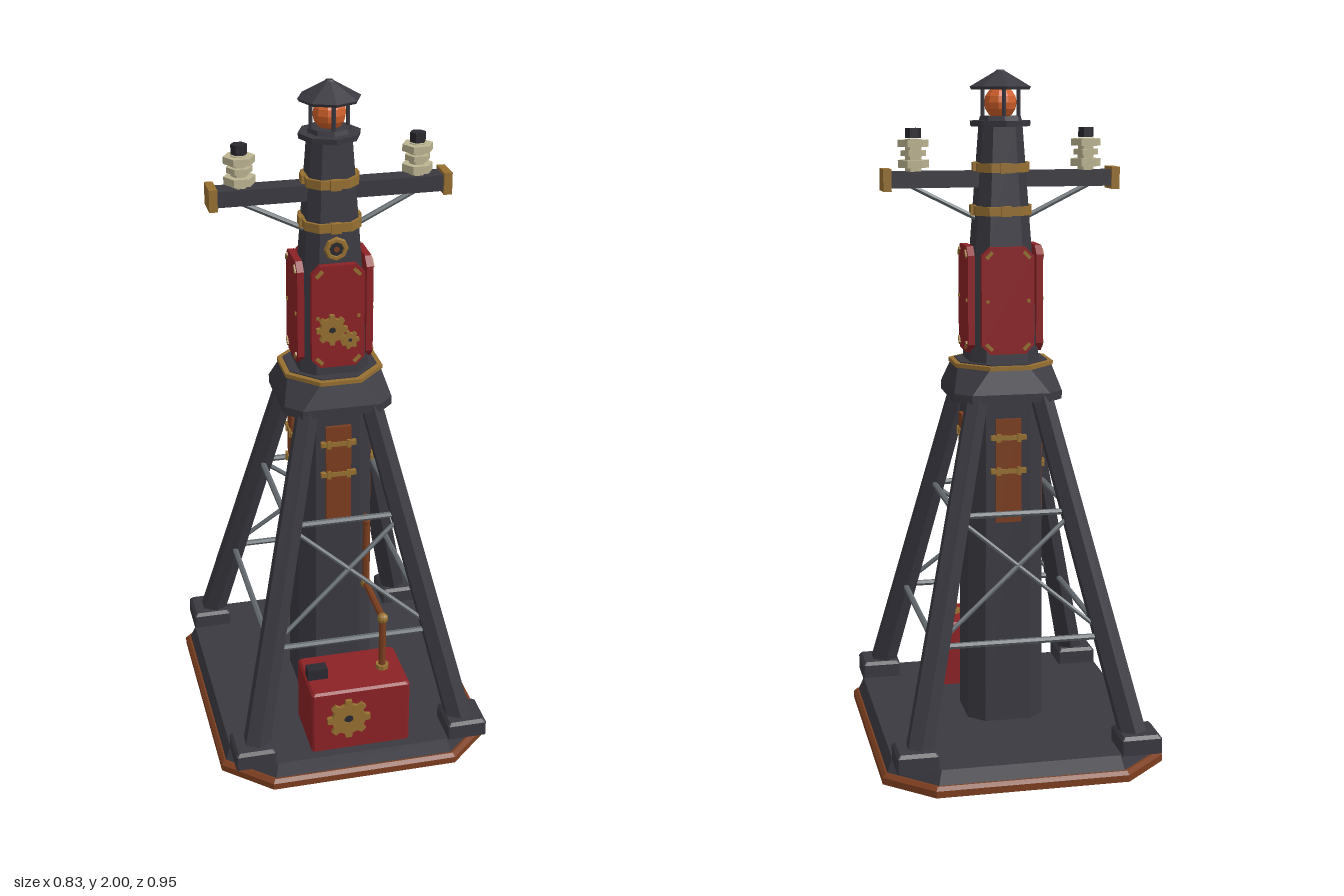
import * as THREE from 'three';

const mat = (name, color) => Object.assign(new THREE.MeshStandardMaterial({ color, flatShading: true }), { name });
const V = (x, y, z) => new THREE.Vector3(x, y, z);

// Stacked chamfered rectangles: each ring is [y, halfX, halfZ, chamferX, chamferZ]
function loft(rings) {
  const pts = rings.map(([y, a, b, c, d = c]) => [
    [a - c, b], [a, b - d], [a, d - b], [a - c, -b], [c - a, -b], [-a, d - b], [-a, b - d], [c - a, b],
  ].map(([x, z]) => V(x, y, z)));
  const out = [];
  const tri = (...t) => t.forEach((p) => out.push(p.x, p.y, p.z));
  const last = pts.length - 1;
  for (let i = 0; i < 8; i++) {
    const j = (i + 1) % 8;
    for (let k = 0; k < last; k++) {
      tri(pts[k][i], pts[k][j], pts[k + 1][j]);
      tri(pts[k][i], pts[k + 1][j], pts[k + 1][i]);
    }
    tri(V(0, rings[last][0], 0), pts[last][i], pts[last][j]);
    tri(V(0, rings[0][0], 0), pts[0][j], pts[0][i]);
  }
  const g = new THREE.BufferGeometry();
  g.setAttribute('position', new THREE.Float32BufferAttribute(out, 3));
  g.computeVertexNormals();
  return g;
}

// Upright plate with cut corners, its back on z = 0
function plate(w, h, c, depth) {
  const x = w / 2, y = h / 2;
  const s = new THREE.Shape([[x - c, -y], [x, c - y], [x, y - c], [x - c, y], [c - x, y], [-x, y - c], [-x, c - y], [c - x, -y]]
    .map((p) => new THREE.Vector2(...p)));
  return new THREE.ExtrudeGeometry(s, { depth, bevelEnabled: false });
}

// Toothed wheel facing +z with a round hole
function gearGeometry(r, teeth, depth) {
  const pts = [];
  for (let i = 0; i < teeth; i++) {
    [[-0.3, 0.78], [-0.18, 1], [0.18, 1], [0.3, 0.78]].forEach(([o, k]) => {
      const a = ((i + o) / teeth) * Math.PI * 2;
      pts.push(new THREE.Vector2(Math.cos(a) * r * k, Math.sin(a) * r * k));
    });
  }
  const s = new THREE.Shape(pts);
  s.holes.push(new THREE.Path().absarc(0, 0, r * 0.22, 0, Math.PI * 2, true));
  return new THREE.ExtrudeGeometry(s, { depth, bevelEnabled: false, curveSegments: 6 });
}

export function createModel() {
  const root = new THREE.Group();
  root.name = 'signalTower';
  const iron = mat('iron', 0x3a3941);
  const black = mat('blackIron', 0x292930);
  const red = mat('redPaint', 0x8c2226);
  const copper = mat('copper', 0x7c3e1f);
  const brass = mat('brass', 0x967031);
  const steel = mat('steel', 0x646b70);
  const cream = mat('ceramic', 0xbdb592);
  const glow = mat('lampGlass', 0xd0602a);

  const add = (name, geo, m, x = 0, y = 0, z = 0, parent = root) => {
    const mesh = new THREE.Mesh(geo, m);
    mesh.name = name;
    mesh.position.set(x, y, z);
    parent.add(mesh);
    return mesh;
  };
  const box = (name, w, h, d, m, x, y, z, parent) => add(name, new THREE.BoxGeometry(w, h, d), m, x, y, z, parent);
  const cyl = (name, rt, rb, h, n, m, x, y, z, parent) => add(name, new THREE.CylinderGeometry(rt, rb, h, n), m, x, y, z, parent);
  const rod = (name, a, b, r0, r1, n, m) => {
    const d = b.clone().sub(a);
    const mesh = cyl(name, r1, r0, d.length(), n, m, 0, 0, 0);
    mesh.position.copy(a).add(b).multiplyScalar(0.5);
    mesh.quaternion.setFromUnitVectors(V(0, 1, 0), d.normalize());
    return mesh;
  };

  // Base
  add('baseSkirt', loft([[0, 0.415, 0.475, 0.135, 0.125], [0.02, 0.415, 0.475, 0.135, 0.125], [0.03, 0.405, 0.465, 0.13, 0.12]]), copper);
  add('baseDeck', loft([[0.03, 0.4, 0.46, 0.13, 0.12], [0.07, 0.385, 0.445, 0.125, 0.115]]), iron);

  // Feet and splayed legs
  const legAt = (sx, sz, y) => {
    const t = (y - 0.1) / 0.98;
    return V(sx * (0.315 - 0.223 * t), y, sz * (0.385 - 0.26 * t));
  };
  for (const sx of [-1, 1]) for (const sz of [-1, 1]) {
    add('foot', loft([[0.065, 0.06, 0.06, 0.004], [0.11, 0.06, 0.06, 0.004], [0.12, 0.052, 0.052, 0.004]]), iron, sx * 0.325, 0, sz * 0.385);
    rod('leg', legAt(sx, sz, 0.1), legAt(sx, sz, 1.09), 0.042, 0.034, 6, iron);
  }

  // Bracing between the legs
  for (const s of [-1, 1]) {
    for (const y of [0.385, 0.74]) {
      rod('crossTie', legAt(-1, s, y), legAt(1, s, y), 0.009, 0.009, 6, steel);
      rod('sideTie', legAt(s, -1, y), legAt(s, 1, y), 0.009, 0.009, 6, steel);
    }
    for (const d of [-1, 1]) rod('diagonalBrace', legAt(-d, s, 0.39), legAt(d, s, 0.735), 0.007, 0.007, 6, steel);
  }

  // Column, collar and upper tower
  add('column', loft([[0.06, 0.115, 0.115, 0.045], [1.08, 0.11, 0.11, 0.045]]), iron);
  add('collar', loft([[1.055, 0.16, 0.16, 0.045], [1.08, 0.16, 0.16, 0.045], [1.15, 0.14, 0.142, 0.08]]), iron);
  add('collarTrim', loft([[1.148, 0.145, 0.147, 0.085], [1.16, 0.145, 0.147, 0.085]]), brass);
  add('collarTop', loft([[1.155, 0.13, 0.132, 0.078], [1.163, 0.13, 0.132, 0.078]]), iron);
  add('upperTower', loft([[1.15, 0.103, 0.103, 0.04], [1.5, 0.082, 0.082, 0.034], [1.85, 0.058, 0.058, 0.026]]), iron);

  // Copper strips and red plates on all four sides
  for (let i = 0; i < 4; i++) {
    const side = new THREE.Group();
    side.name = 'sideFittings';
    side.rotation.y = (i * Math.PI) / 2;
    root.add(side);
    const w = i % 2 ? 0.06 : 0.076;
    box('copperStrip', w, 0.31, 0.02, copper, 0, 0.845, 0.112, side);
    for (const y of [0.845, 0.945]) {
      box('stripClamp', w + 0.03, 0.014, 0.016, brass, 0, y, 0.118, side);
      for (const x of [-1, 1]) box('clampBolt', 0.012, 0.024, 0.02, brass, x * (w / 2 - 0.008), y, 0.119, side);
    }
    add('redPlate', plate(0.155, 0.31, 0.025, 0.02), red, 0, 1.345, 0.091, side);
    for (const x of [-1, 1]) {
      for (const y of [-1, 1]) {
        box('cornerClip', 0.026, 0.01, 0.008, brass, x * 0.055, 1.345 + y * 0.133, 0.112, side).rotation.z = -x * y * Math.PI / 4;
      }
      box('plateRivet', 0.009, 0.009, 0.006, brass, x * 0.06, 1.345, 0.112, side);
    }
  }

  // Plate gears and gauge
  for (const [x, y, r, n] of [[-0.02, 1.31, 0.046, 8], [0.032, 1.275, 0.027, 7]]) {
    add('plateGear', gearGeometry(r, n, 0.014), brass, x, y, 0.112);
    cyl('gearAxle', r * 0.2, r * 0.2, 0.02, 6, black, x, y, 0.115).rotation.x = Math.PI / 2;
  }
  add('gaugeRing', new THREE.TorusGeometry(0.027, 0.009, 6, 8), brass, 0, 1.54, 0.084);
  cyl('gaugeFace', 0.024, 0.024, 0.016, 8, black, 0, 1.54, 0.08).rotation.x = Math.PI / 2;
  cyl('gaugePin', 0.008, 0.008, 0.006, 6, copper, 0, 1.54, 0.09).rotation.x = Math.PI / 2;

  // Brass bands with side lugs
  for (const [y, r] of [[1.6, 0.082], [1.723, 0.075]]) {
    add('towerBand', loft([[y - 0.013, r, r, 0.034], [y + 0.013, r, r, 0.034]]), brass);
    for (let i = 0; i < 4; i++) {
      const a = (i * Math.PI) / 2;
      box('bandLug', 0.03, 0.03, 0.016, brass, Math.sin(a) * r, y, Math.cos(a) * r).rotation.y = a;
    }
  }

  // Cross arm, struts and insulators
  box('crossArm', 0.65, 0.046, 0.062, iron, 0, 1.69, 0);
  for (const s of [-1, 1]) {
    box('armCap', 0.024, 0.064, 0.08, brass, s * 0.336, 1.69, 0);
    rod('armStrut', V(s * 0.26, 1.67, 0), V(s * 0.07, 1.575, 0), 0.008, 0.008, 6, steel);
    const stack = [
      [0.022, 1.718, 0.012, cream], [0.045, 1.735, 0.022, cream], [0.024, 1.76, 0.09, cream],
      [0.037, 1.765, 0.016, cream], [0.045, 1.793, 0.02, cream], [0.023, 1.822, 0.028, black],
    ];
    for (const [r, y, h, m] of stack) cyl('insulator', r, r, h, 6, m, s * 0.255, y, 0).rotation.y = Math.PI / 6;
  }

  // Lantern
  cyl('lanternGallery', 0.09, 0.088, 0.016, 8, iron, 0, 1.848, 0);
  cyl('lanternSill', 0.06, 0.064, 0.014, 8, iron, 0, 1.862, 0);
  add('lampGlass', new THREE.SphereGeometry(0.048, 10, 8), glow, 0, 1.907, 0);
  for (let i = 0; i < 4; i++) {
    const a = (i * Math.PI) / 2;
    cyl('lanternPost', 0.006, 0.006, 0.1, 6, iron, Math.sin(a) * 0.053, 1.905, Math.cos(a) * 0.053);
  }
  cyl('roofEave', 0.09, 0.086, 0.008, 8, iron, 0, 1.948, 0);
  cyl('lanternRoof', 0.014, 0.09, 0.044, 8, iron, 0, 1.974, 0);
  cyl('roofTip', 0.01, 0.014, 0.004, 8, iron, 0, 1.998, 0);

  // Machine box
  add('machineBox', loft([[0.068, 0.15, 0.1, 0.006], [0.268, 0.15, 0.1, 0.006], [0.275, 0.143, 0.093, 0.006]]), red, 0, 0, 0.315);
  box('boxVent', 0.06, 0.036, 0.035, black, -0.115, 0.292, 0.323);
  add('boxGear', gearGeometry(0.066, 8, 0.014), brass, -0.04, 0.18, 0.413);
  cyl('boxGearAxle', 0.014, 0.014, 0.02, 6, black, -0.04, 0.18, 0.414).rotation.x = Math.PI / 2;

  // Copper pipe from the box to the column
  const run = [V(0.088, 0.27, 0.32), V(0.088, 0.45, 0.32), V(0.088, 0.45, 0.117), V(0.088, 0.67, 0.117), V(0.088, 0.67, 0.08)];
  for (let i = 0; i < 4; i++) {
    rod('pipe', run[i], run[i + 1], 0.011, 0.011, 8, copper);
    add('pipeJoint', new THREE.SphereGeometry(i % 3 ? 0.017 : 0.011, 8, 6), i % 3 ? brass : copper, ...run[i].toArray());
  }
  add('pipeElbow', new THREE.SphereGeometry(0.013, 8, 6), copper, ...run[3].toArray());
  cyl('pipeFlange', 0.02, 0.02, 0.014, 8, brass, 0.088, 0.282, 0.32);
  return root;
}
